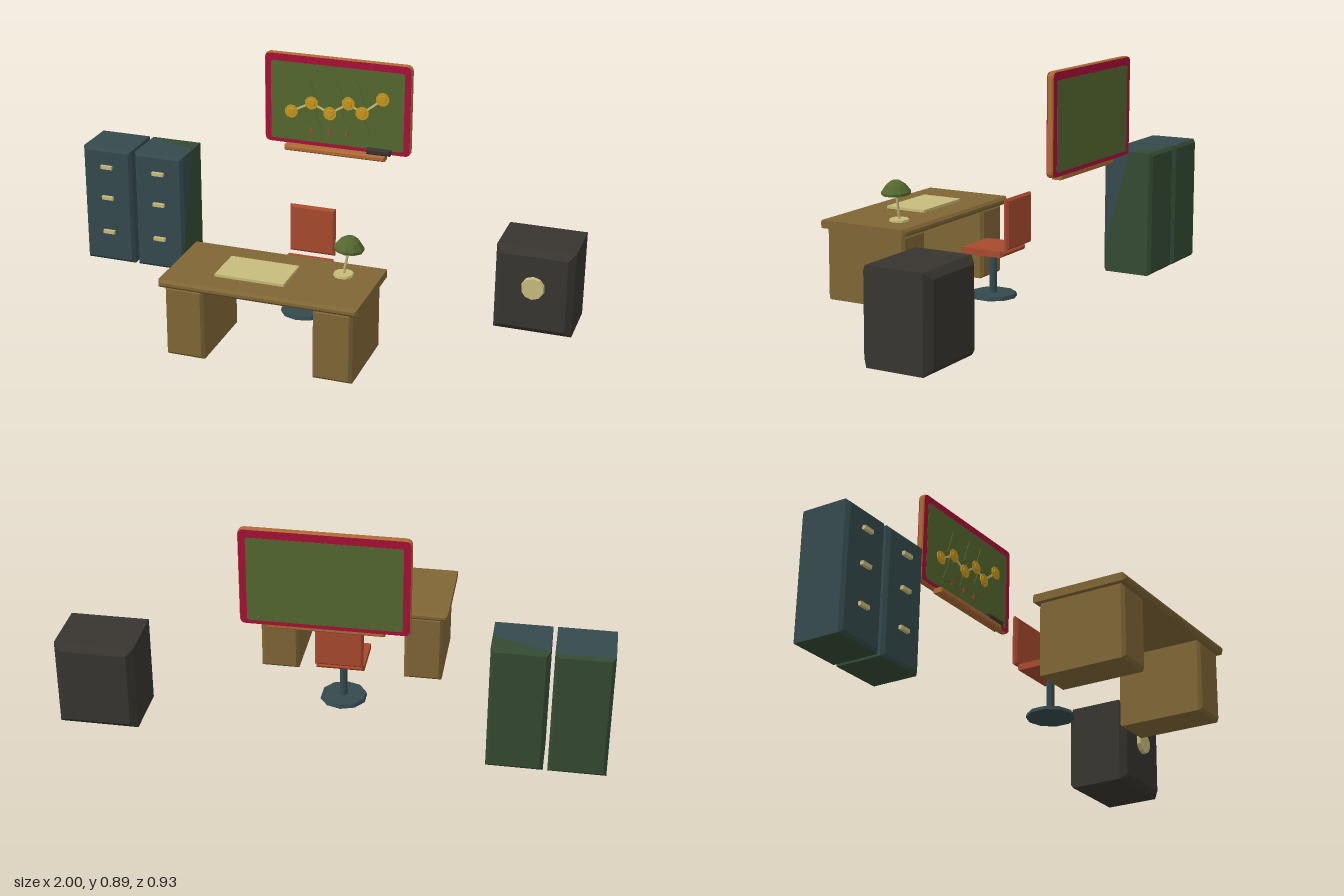
import * as THREE from 'three';
import { ConvexGeometry } from 'three/addons/geometries/ConvexGeometry.js';

const mat = (name, color, flat = true) => Object.assign(new THREE.MeshStandardMaterial({ color, flatShading: flat }), { name });
const M = {
  wood: mat('desk wood', 0x806636),
  teal: mat('cabinet teal', 0x354a4e),
  dark: mat('safe charcoal', 0x383530),
  red: mat('chair red', 0xa84a2e),
  beige: mat('paper and brass', 0xc8bc7c),
  green: mat('board green', 0x55682f),
  crimson: mat('frame crimson', 0xa81038),
  gold: mat('flower gold', 0xc8981e),
  orange: mat('frame wood', 0xae6a34),
  moss: mat('cabinet moss', 0x344a32),
};
const CX = -0.005; // centre line of the desk, chair and board

function add(parent, name, geometry, material, x = 0, y = 0, z = 0) {
  const mesh = new THREE.Mesh(geometry, material);
  mesh.name = name;
  mesh.position.set(x, y, z);
  parent.add(mesh);
  return mesh;
}

function group(parent, name) {
  const g = new THREE.Group();
  g.name = name;
  parent.add(g);
  return g;
}

function rectShape(w, h, r) {
  const s = new THREE.Shape(), x = w / 2, y = h / 2;
  s.moveTo(-x + r, -y);
  s.lineTo(x - r, -y);
  if (r) s.quadraticCurveTo(x, -y, x, -y + r);
  s.lineTo(x, y - r);
  if (r) s.quadraticCurveTo(x, y, x - r, y);
  s.lineTo(-x + r, y);
  if (r) s.quadraticCurveTo(-x, y, -x, y - r);
  s.lineTo(-x, -y + r);
  if (r) s.quadraticCurveTo(-x, -y, -x + r, -y);
  return s;
}

// Block between two corners, chamfered around its front and back faces
function block([x0, y0, z0], [x1, y1, z1], b, r = 0) {
  const shape = rectShape(x1 - x0 - 2 * b, y1 - y0 - 2 * b, r);
  const g = new THREE.ExtrudeGeometry(shape, {
    depth: z1 - z0 - 2 * b, bevelEnabled: b > 0, bevelThickness: b, bevelSize: b, bevelSegments: 1, curveSegments: 4,
  });
  return g.translate((x0 + x1) / 2, (y0 + y1) / 2, z0 + b);
}

// Split the points of a convex solid by a plane into [behind, in front]
function split(points, plane) {
  const d = points.map((p) => plane.distanceToPoint(p));
  const behind = points.filter((p, i) => d[i] <= 0);
  const front = points.filter((p, i) => d[i] > 0);
  const cut = [];
  points.forEach((p, i) => points.forEach((q, j) => {
    if (d[i] < 0 && d[j] > 0) cut.push(p.clone().lerp(q, d[i] / (d[i] - d[j])));
  }));
  return [behind.concat(cut), front.concat(cut)];
}

function uniquePoints(geometry) {
  const a = geometry.attributes.position, map = new Map();
  for (let i = 0; i < a.count; i++) {
    const p = new THREE.Vector3().fromBufferAttribute(a, i);
    map.set(p.toArray().map((v) => v.toFixed(4)).join(), p);
  }
  return [...map.values()];
}

function buildCabinets(root) {
  const back = new THREE.Plane(new THREE.Vector3(0, 0, 1), 0.419);
  const bottom = new THREE.Plane(new THREE.Vector3(0, 1, 0), -0.003);
  const diagonal = new THREE.Plane(new THREE.Vector3(-0.4, 0.262, 1), -0.0208);
  [[-1, -0.793, [back, bottom]], [-0.777, -0.573, [back, bottom, diagonal]]].forEach(([x0, x1, planes]) => {
    const g = group(root, 'filingCabinet');
    let rest = uniquePoints(block([x0, 0, -0.43], [x1, 0.484, -0.228], 0.012));
    for (const plane of planes) {
      const [behind, front] = split(rest, plane);
      add(g, 'cabinetMossPart', new ConvexGeometry(behind), M.moss);
      rest = front;
    }
    add(g, 'cabinetTealPart', new ConvexGeometry(rest), M.teal);
    for (const y of [0.408, 0.277, 0.13])
      add(g, 'drawerHandle', new THREE.BoxGeometry(0.048, 0.014, 0.014), M.beige, (x0 + x1) / 2, y, -0.222);
  });
}

function buildDesk(root) {
  const g = group(root, 'desk');
  add(g, 'deskTop', block([-0.375, 0.27, 0.092], [0.368, 0.3, 0.462], 0.01), M.wood);
  for (const x of [CX - 0.278, CX + 0.278])
    add(g, 'pedestal', block([x - 0.073, 0, 0.11], [x + 0.073, 0.272, 0.445], 0.011), M.wood);
  add(g, 'blotter', new THREE.BoxGeometry(0.262, 0.01, 0.166), M.beige, -0.064, 0.305, 0.283);

  // Lamp with a leaning stem
  const lamp = group(g, 'deskLamp');
  add(lamp, 'lampBase', new THREE.CylinderGeometry(0.036, 0.038, 0.009, 10), M.beige, 0.235, 0.304, 0.2);
  const stem = add(lamp, 'lampStem', new THREE.CylinderGeometry(0.005, 0.005, 0.112, 8), M.beige, 0.245, 0.36, 0.2);
  stem.rotation.z = -0.18;
  const profile = [[0, -0.022], [0.054, -0.022], [0.055, -0.012], [0.036, 0.014], [0.016, 0.028], [0, 0.03]];
  const shade = new THREE.LatheGeometry(profile.map(([x, y]) => new THREE.Vector2(x, y)), 10);
  add(lamp, 'lampShade', shade, M.green, 0.256, 0.425, 0.2).rotation.z = -0.08;
}

function buildChair(root) {
  const g = group(root, 'chair');
  const x0 = CX - 0.09, x1 = CX + 0.09;
  add(g, 'seat', block([x0, 0.17, -0.147], [x1, 0.194, 0.033], 0.01), M.red);
  add(g, 'backrest', block([x0, 0.2, -0.17], [x1, 0.39, -0.148], 0.008), M.red);
  add(g, 'post', new THREE.CylinderGeometry(0.0145, 0.0145, 0.16, 8), M.teal, CX, 0.092, -0.057);
  add(g, 'foot', new THREE.CylinderGeometry(0.085, 0.089, 0.014, 10), M.teal, CX, 0.007, -0.057);
}

function buildSafe(root) {
  const g = group(root, 'safe');
  add(g, 'safeBody', block([0.705, 0, -0.412], [1, 0.336, -0.15], 0.024), M.dark);
  const dial = add(g, 'dial', new THREE.CylinderGeometry(0.042, 0.045, 0.016, 10), M.beige, 0.852, 0.19, -0.143);
  dial.rotation.x = Math.PI / 2;
}

function buildBoard(root) {
  const g = group(root, 'wallBoard');
  add(g, 'boardRim', block([-0.302, 0.524, -0.461], [0.292, 0.89, -0.437], 0.004, 0.02), M.orange);
  const plate = (w, h, r) => new THREE.ExtrudeGeometry(rectShape(w, h, r), { depth: 0.0015, bevelEnabled: false, curveSegments: 4 });
  for (const [z, step] of [[-0.437, 0.0012], [-0.4625, -0.0012]]) {
    add(g, 'crimsonFrame', plate(0.588, 0.36, 0.02), M.crimson, CX, 0.707, z);
    add(g, 'boardPanel', plate(0.54, 0.317, 0.01), M.green, CX, 0.7, z + step);
  }
  add(g, 'tray', block([-0.212, 0.504, -0.447], [0.198, 0.525, -0.405], 0.005), M.orange);
  add(g, 'eraser', block([0.122, 0.526, -0.436], [0.218, 0.549, -0.411], 0.005), M.dark);

  // Two-tier trees with small trunks
  const tier = (w, h) => new THREE.ExtrudeGeometry(
    new THREE.Shape([[-w / 2, 0], [w / 2, 0], [0, h]].map(([x, y]) => new THREE.Vector2(x, y))),
    { depth: 0.003, bevelEnabled: false });
  for (const [x, y] of [[-0.115, 0.585], [-0.005, 0.595], [0.075, 0.6]]) {
    add(g, 'treeLowerTier', tier(0.11, 0.14), M.green, x, y, -0.4343);
    add(g, 'treeUpperTier', tier(0.07, 0.1), M.green, x, y + 0.115, -0.433);
  }
  for (const x of [-0.11, -0.033, 0.035])
    add(g, 'treeTrunk', new THREE.BoxGeometry(0.009, 0.024, 0.004), M.red, x, 0.59, -0.432);

  // String of gold flowers
  const spots = [[-0.19, 0.66], [-0.107, 0.703], [-0.032, 0.668], [0.043, 0.717], [0.099, 0.684], [0.18, 0.749]];
  spots.forEach(([x, y], i) => {
    add(g, 'flower', new THREE.CylinderGeometry(0.027, 0.027, 0.005, 10), M.gold, x, y, -0.4295).rotation.x = Math.PI / 2;
    add(g, 'flowerHeart', new THREE.CylinderGeometry(0.015, 0.017, 0.004, 8), M.gold, x, y, -0.4255).rotation.x = Math.PI / 2;
    if (!i) return;
    const [px, py] = spots[i - 1];
    const cord = new THREE.BoxGeometry(Math.hypot(x - px, y - py), 0.008, 0.004);
    add(g, 'cord', cord, M.beige, (x + px) / 2, (y + py) / 2, -0.431).rotation.z = Math.atan2(y - py, x - px);
  });
}

export function createModel() {
  const root = new THREE.Group();
  root.name = 'office';
  [buildCabinets, buildDesk, buildChair, buildSafe, buildBoard].forEach((build) => build(root));
  return root;
}
